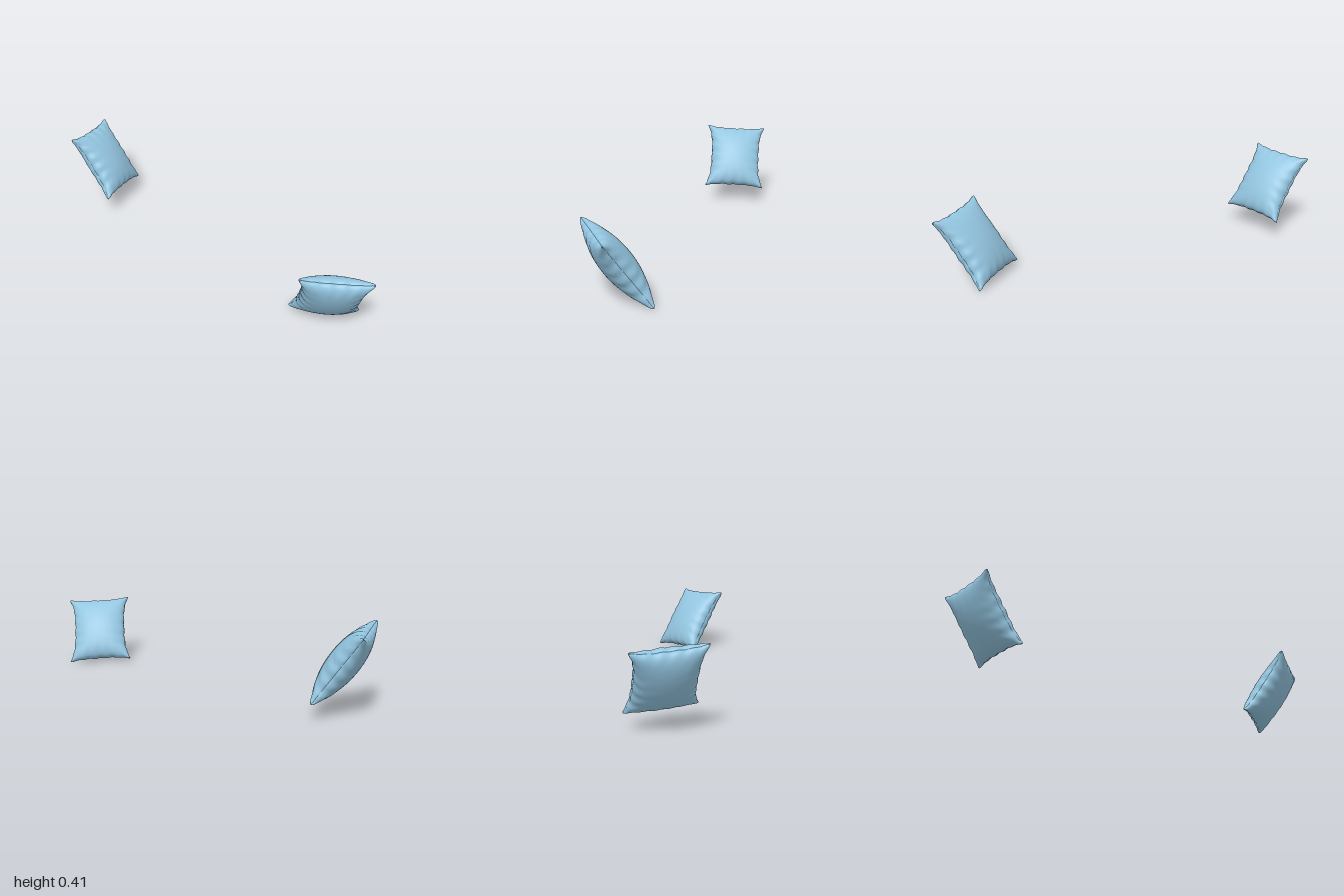
import * as THREE from 'three';

const W = 0.35, H = 0.395, T = 0.073; // pillow width, height, half thickness
const N = 64;

// One stuffed half of a pillow: a grid puffed out along +z, denser towards the seam
function pillowHalf(phase) {
  const geo = new THREE.PlaneGeometry(2, 2, N, N);
  const p = geo.attributes.position;
  for (let i = 0; i < p.count; i++) {
    const a = (p.getX(i) + 1) * Math.PI / 2, b = (p.getY(i) + 1) * Math.PI / 2;
    const u = -Math.cos(a), v = -Math.cos(b);
    const su = Math.max(0, Math.sin(a)), sv = Math.max(0, Math.sin(b));
    const onSeam = su < 1e-6 || sv < 1e-6;

    // sides drawn in between the four corner ears, with a slight waviness
    const sideIn = 0.036 * (1 - Math.abs(v) ** 3.5) + 0.002 * Math.sin(19 * v) * sv;
    const endIn = 0.022 * (1 - Math.abs(u) ** 3.5) + 0.002 * Math.cos(17 * u) * su;
    const ear = 1 - 0.035 * (u * v) ** 14;
    let x = u * (W / 2 - sideIn) * ear, y = v * (H / 2 - endIn) * ear;

    // stitched seam sits in a small groove
    if (onSeam) { x *= 0.983; y *= 0.985; }

    // puffed height with creases running inwards from the seam
    const nearSide = Math.exp(-(((1 - Math.abs(u)) / 0.22) ** 2)) * sv;
    const nearEnd = Math.exp(-(((1 - Math.abs(v)) / 0.2) ** 2)) * su;
    const crease = 0.05 * nearSide * Math.sin(21 * v + 4 * u + phase)
      + 0.04 * nearEnd * Math.sin(18 * u - 3 * v + phase * 2);
    const z = onSeam ? 0 : T * (su * sv) ** 0.82 * (1 + crease);
    p.setXYZ(i, x, y, z);
  }
  geo.computeVertexNormals();
  return geo;
}

// Pillow placed by its centre and the directions of its width and height
function pillow(name, centre, across, up, material) {
  const group = new THREE.Group();
  group.name = name;
  const front = new THREE.Mesh(pillowHalf(0.4), material);
  front.name = 'pillowFront';
  const back = new THREE.Mesh(pillowHalf(1.9), material);
  back.name = 'pillowBack';
  back.rotation.y = Math.PI;
  group.add(front, back);

  const x = new THREE.Vector3(...across).normalize();
  const z = new THREE.Vector3().crossVectors(x, new THREE.Vector3(...up)).normalize();
  const y = new THREE.Vector3().crossVectors(z, x);
  group.quaternion.setFromRotationMatrix(new THREE.Matrix4().makeBasis(x, y, z));
  group.position.set(...centre);
  return group;
}

export function createModel() {
  const model = new THREE.Group();
  model.name = 'pillows';
  const fabric = new THREE.MeshStandardMaterial({ color: 0x93c5e0 });
  model.add(
    pillow('frontPillow', [0.043, 0.176, 0.793], [0.24, -0.02, 0.23], [-0.155, 0.317, 0.16], fabric),
    pillow('backPillow', [-0.047, 0.255, -0.821], [0.32, -0.02, -0.137], [-0.065, 0.31, -0.21], fabric),
  );
  return model;
}
